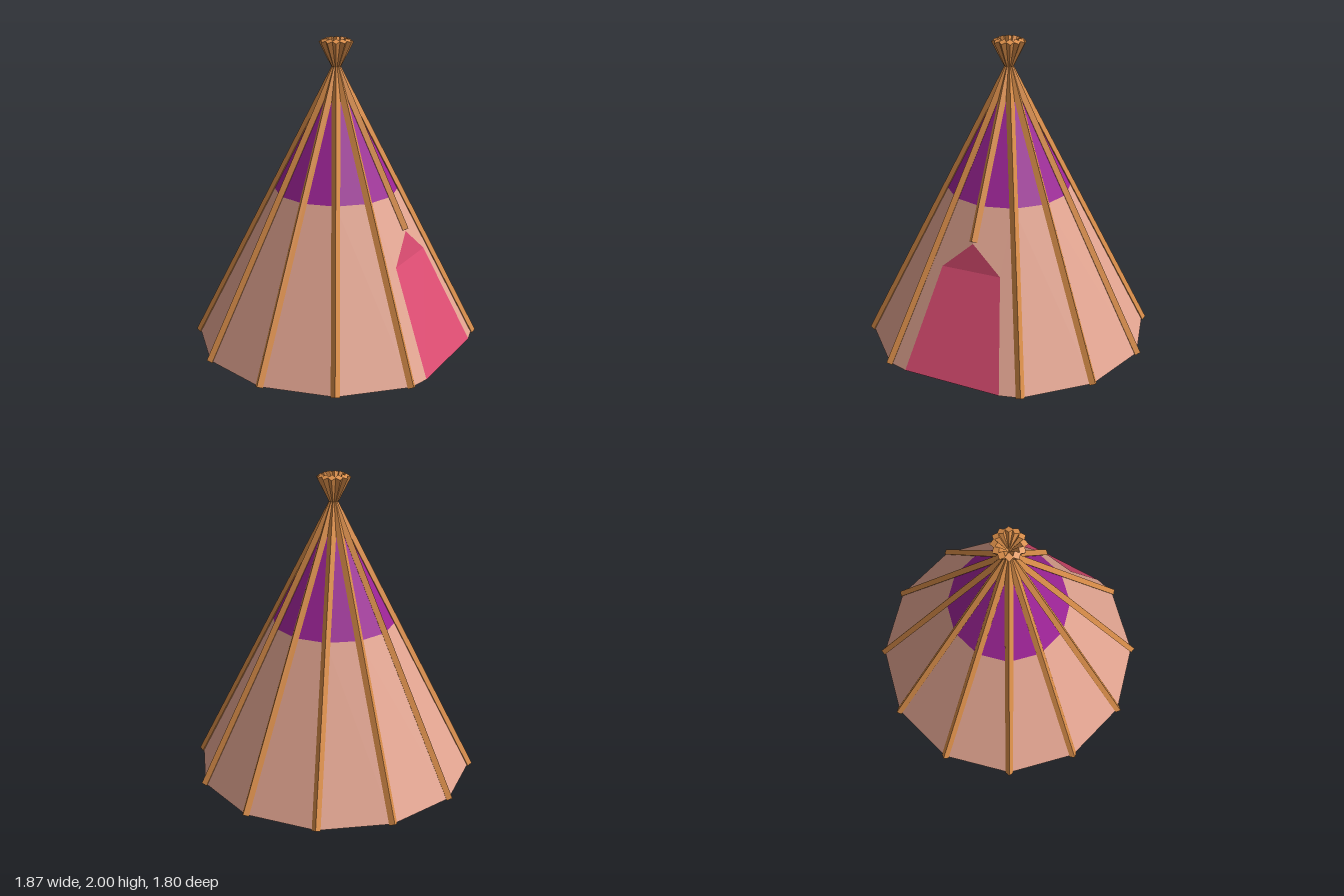
import * as THREE from 'three';

const SIDES = 12;
const CROSS_Y = 1.82;   // height where the poles cross
const SLOPE = 0.508;    // radius gained per unit below the crossing
const CENTRE_Z = 0.034;
const HEM_Y = 0.015, BAND_Y = 1.03, TOP_Y = 1.69;
const DOOR_POLE = 9;    // index of the short pole above the door

const angleOf = (k) => THREE.MathUtils.degToRad(7 + 30 * k);

// Point on pole line k at height y
function onPole(k, y) {
  const r = SLOPE * (CROSS_Y - y), a = angleOf(k);
  return new THREE.Vector3(r * Math.cos(a), y, CENTRE_Z - r * Math.sin(a));
}

// Point on the cloth panel between poles k and k + 1, given x and y
function onPanel(k, x, y) {
  const p = onPole(k, y), q = onPole(k + 1, y);
  return p.clone().lerp(q, (x - p.x) / (q.x - p.x));
}

// Mesh made of flat polygons, each fanned from its first corner
function polygonMesh(name, polygons, material) {
  const points = [];
  for (const poly of polygons) {
    for (let i = 1; i < poly.length - 1; i++) points.push(poly[0], poly[i], poly[i + 1]);
  }
  const geometry = new THREE.BufferGeometry().setFromPoints(points);
  geometry.computeVertexNormals();
  const mesh = new THREE.Mesh(geometry, material);
  mesh.name = name;
  return mesh;
}

// Square pole set edge outwards, running between two heights on its line
function makePole(k, y0, y1, material) {
  const a = onPole(k, y0), b = onPole(k, y1);
  const geometry = new THREE.CylinderGeometry(0.027, 0.027, a.distanceTo(b), 4);
  const pole = new THREE.Mesh(geometry, material);
  const up = b.clone().sub(a).normalize();
  const side = new THREE.Vector3(-Math.sin(angleOf(k)), 0, -Math.cos(angleOf(k)));
  const out = side.clone().cross(up);
  pole.quaternion.setFromRotationMatrix(new THREE.Matrix4().makeBasis(side, up, out));
  pole.position.copy(a).lerp(b, 0.5);
  return pole;
}

export function createModel() {
  const model = new THREE.Group();
  model.name = 'tent';
  const material = (name, color) => {
    const m = new THREE.MeshStandardMaterial({ color, side: THREE.DoubleSide, flatShading: true });
    m.name = name;
    return m;
  };
  const cloth = material('peach cloth', 0xe3a591);
  const purple = material('purple cloth', 0x9c2496);
  const pink = material('pink cloth', 0xde4d73);
  const wood = material('wood', 0xd98d49);

  // Door corners, all lying on the two front panels
  const left = DOOR_POLE - 1, right = DOOR_POLE;
  const bl = onPanel(left, -0.22, HEM_Y), ml = onPanel(left, -0.13, 0.645);
  const br = onPanel(right, 0.43, HEM_Y), mr = onPanel(right, 0.265, 0.65);
  const tip = onPole(DOOR_POLE, 0.82);

  // Cover panels, with the door opening cut from the front two
  const cover = [], band = [];
  for (let k = 0; k < SIDES; k++) {
    const hemA = onPole(k, HEM_Y), hemB = onPole(k + 1, HEM_Y);
    const midA = onPole(k, BAND_Y), midB = onPole(k + 1, BAND_Y);
    if (k === left) cover.push([midA, hemA, bl, ml, tip, midB]);
    else if (k === right) cover.push([midB, midA, tip, mr, br, hemB]);
    else cover.push([midA, hemA, hemB, midB]);
    band.push([midA, midB, onPole(k + 1, TOP_Y), onPole(k, TOP_Y)]);
  }
  model.add(polygonMesh('cover', cover, cloth));
  model.add(polygonMesh('upperBand', band, purple));
  model.add(polygonMesh('door', [[bl, br, mr, ml], [ml, mr, tip]], pink));

  // Poles, the one above the door stopping at its tip
  const poles = new THREE.Group();
  poles.name = 'poles';
  for (let k = 0; k < SIDES; k++) {
    const pole = makePole(k, k === DOOR_POLE ? 0.83 : 0.012, 1.988, wood);
    pole.name = k === DOOR_POLE ? 'doorPole' : `pole${k + 1}`;
    poles.add(pole);
  }
  model.add(poles);
  return model;
}
